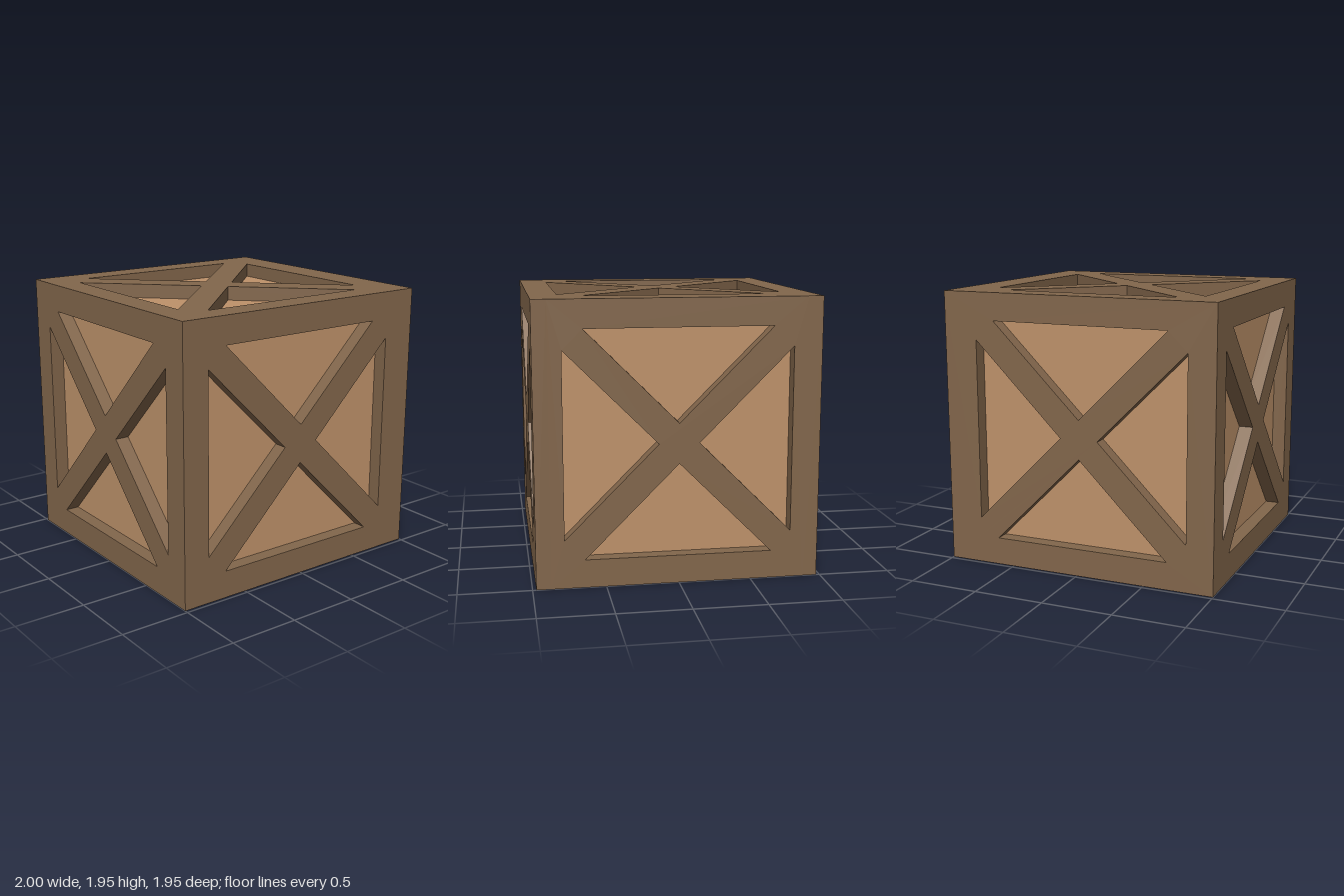
import * as THREE from 'three';

const H = 0.975;          // half height and half depth of the crate
const T = 0.1;            // thickness of the frames
const OPEN = 0.78;        // half size of the framed opening
const BAR = 0.138;        // distance from the cross centre to an opening's tip
const SHIFT = -0.025;     // the openings sit slightly off centre in x

const frameMat = new THREE.MeshStandardMaterial({ color: 0x82664b });
const panelMat = new THREE.MeshStandardMaterial({ color: 0xbe926a });

// Flat frame with a diagonal cross: a rectangle with four triangular openings
function crossFrame(name, width, height, shift) {
  const w = width / 2, h = height / 2;
  const shape = new THREE.Shape([
    new THREE.Vector2(-w, -h), new THREE.Vector2(w, -h),
    new THREE.Vector2(w, h), new THREE.Vector2(-w, h),
  ]);
  const centre = new THREE.Vector2();
  for (let i = 0; i < 4; i++) {
    const corners = [[0, BAR], [-(OPEN - BAR), OPEN], [OPEN - BAR, OPEN]].map(([x, y]) => {
      const p = new THREE.Vector2(x, y).rotateAround(centre, i * Math.PI / 2);
      p.x += shift;
      return p;
    });
    shape.holes.push(new THREE.Path(corners));
  }
  const geo = new THREE.ExtrudeGeometry(shape, { depth: T, bevelEnabled: false });
  geo.translate(0, 0, -T);   // outer face lies on z = 0
  const mesh = new THREE.Mesh(geo, frameMat);
  mesh.name = name;
  return mesh;
}

export function createModel() {
  const crate = new THREE.Group();
  crate.name = 'crate';

  // Recessed inner panels
  const core = new THREE.Mesh(
    new THREE.BoxGeometry(2 - 2 * T, 2 * (H - T), 2 * (H - T)), panelMat);
  core.name = 'innerPanels';
  core.position.y = H;
  crate.add(core);

  // One frame per side: name, width, height, opening shift, rotation x, rotation y, distance
  const q = Math.PI / 2, inner = 2 * (H - T);
  const sides = [
    ['frontFrame', 2, 2 * H, SHIFT, 0, 0, H],
    ['backFrame', 2, 2 * H, -SHIFT, 0, Math.PI, H],
    ['leftFrame', inner, 2 * H, 0, 0, q, 1],
    ['rightFrame', inner, 2 * H, 0, 0, -q, 1],
    ['topFrame', 2 - 2 * T, inner, SHIFT, -q, 0, H],
    ['bottomFrame', 2 - 2 * T, inner, SHIFT, q, 0, H],
  ];
  for (const [name, width, height, shift, rx, ry, distance] of sides) {
    const frame = crossFrame(name, width, height, shift);
    frame.rotation.set(rx, ry, 0);
    frame.position.set(0, 0, distance).applyEuler(frame.rotation);
    frame.position.y += H;
    crate.add(frame);
  }
  return crate;
}
